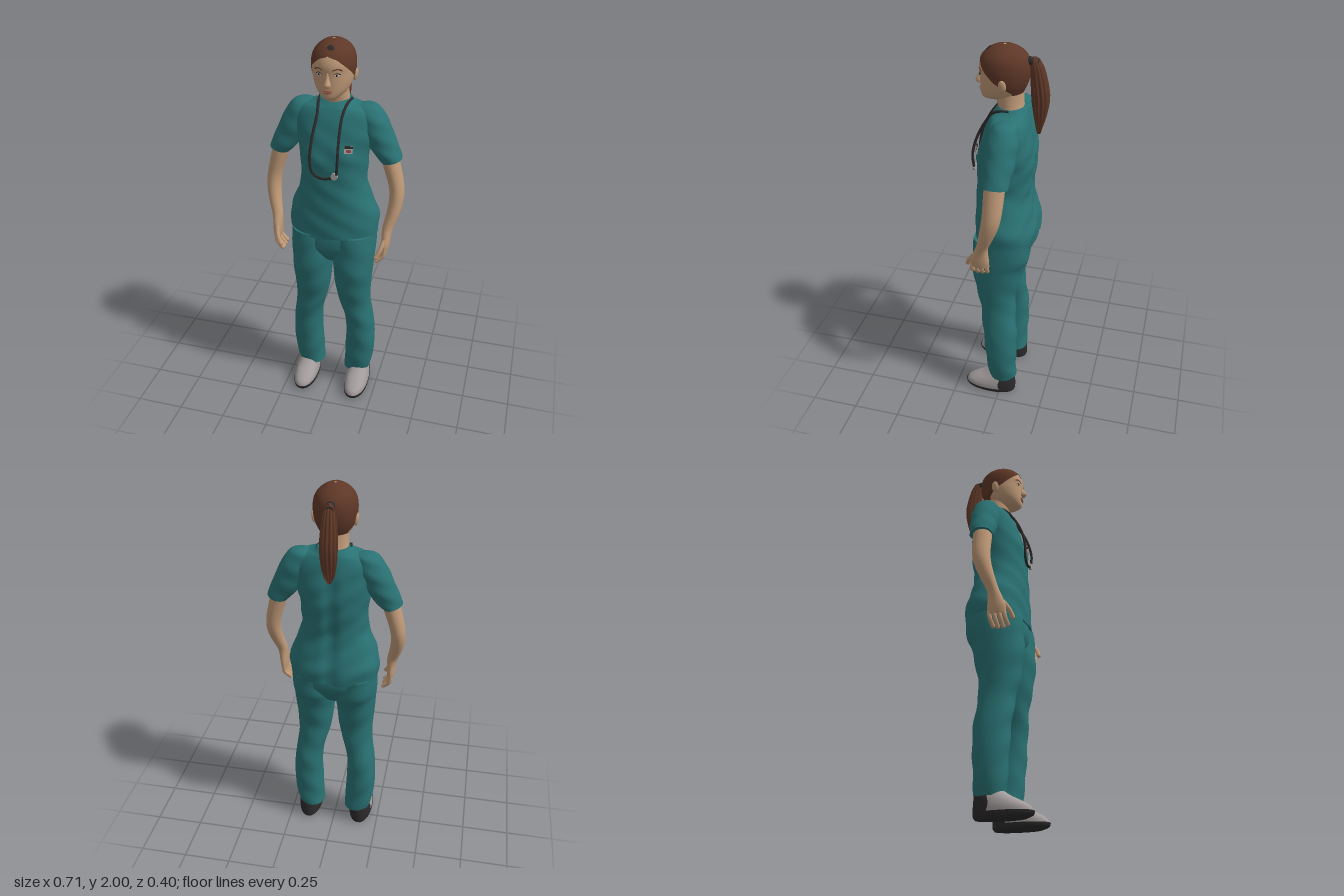
import * as THREE from 'three';

const mat = (name, color, side = THREE.FrontSide) => {
  const m = new THREE.MeshStandardMaterial({ color, side });
  m.name = name;
  return m;
};
const M = {
  cloth: mat('teal cloth', 0x2a7274),
  skin: mat('skin', 0xc09a78),
  hair: mat('brown hair', 0x5e3727, THREE.DoubleSide),
  dark: mat('dark rubber', 0x2c2a2b, THREE.DoubleSide),
  shoe: mat('grey leather', 0xa39c9c),
  lip: mat('lips', 0x9c6250),
  eye: mat('eye white', 0xcfc8c0),
  metal: mat('metal', 0xaaa39c),
  badge: mat('badge red', 0x8a4a4a),
};

const spline = (a, b, c, d, t) => 0.5 * (2 * b + (c - a) * t
  + (2 * a - 5 * b + 4 * c - d) * t * t + (3 * b - a - 3 * c + d) * t * t * t);
const bell = (v, c, w) => Math.exp(-(((v - c) / w) ** 2));

// Rings run from top to bottom: [y, xMin, xMax, zFront, zBack, tilt].
// open(y) leaves out that half angle at the front, mold(p, angle) bends each vertex.
function loft(rings, { n = 40, pow = 2, steps = 5, grow = 0, open, mold } = {}) {
  const rows = [];
  const at = i => rings[Math.max(0, Math.min(rings.length - 1, i))];
  for (let i = 0; i < rings.length - 1; i++)
    for (let s = 0; s < steps + (i === rings.length - 2 ? 1 : 0); s++)
      rows.push([0, 1, 2, 3, 4, 5].map(k => spline(at(i - 1)[k] ?? 0, at(i)[k] ?? 0,
        at(i + 1)[k] ?? 0, at(i + 2)[k] ?? 0, s / steps)));
  const pos = [], idx = [], w = n + 1, p = new THREE.Vector3();
  const curve = v => Math.sign(v) * Math.abs(v) ** (2 / pow);
  for (const [y, x0, x1, zf, zb, tilt] of rows) {
    const gap = open ? open(y) : 0;
    for (let j = 0; j <= n; j++) {
      const a = gap + (2 * Math.PI - 2 * gap) * j / n;
      const dx = ((x1 - x0) / 2 + grow) * curve(Math.sin(a));
      p.set((x0 + x1) / 2 + dx, y + dx * tilt, (zf + zb) / 2 + ((zf - zb) / 2 + grow) * curve(Math.cos(a)));
      if (mold) mold(p, a);
      pos.push(p.x, p.y, p.z);
    }
  }
  const col = j => (open ? j : j % n);
  for (let i = 0; i < rows.length - 1; i++)
    for (let j = 0; j < n; j++) {
      const a = i * w + col(j), b = i * w + col(j + 1);
      idx.push(a, a + w, b, b, a + w, b + w);
    }
  // flat end caps
  if (!open) for (const row of [0, rows.length - 1]) {
    const base = pos.length / 3, r = rows[row];
    pos.push(...pos.slice(row * w * 3, (row + 1) * w * 3));
    pos.push((r[1] + r[2]) / 2, r[0], (r[3] + r[4]) / 2);
    for (let j = 0; j < n; j++)
      row ? idx.push(base + w, base + j + 1, base + j) : idx.push(base + w, base + j, base + j + 1);
  }
  const g = new THREE.BufferGeometry();
  g.setAttribute('position', new THREE.Float32BufferAttribute(pos, 3));
  g.setIndex(idx);
  g.computeVertexNormals();
  return g;
}

const centred = rings => rings.map(([y, r, zf, zb]) => [y, -r, r, zf, zb]);
const sided = (rings, s) => rings.map(([y, a, b, zf, zb, t = 0]) =>
  s > 0 ? [y, a, b, zf, zb, t] : [y, -b, -a, zf, zb, -t]);

export function createModel() {
  const model = new THREE.Group();
  const add = (name, geo, m, parent = model) => {
    const mesh = new THREE.Mesh(geo, m);
    mesh.name = name;
    parent.add(mesh);
    return mesh;
  };
  const blob = (name, m, [x, y, z], [sx, sy, sz], parent) => {
    const b = add(name, new THREE.SphereGeometry(1, 20, 14), m, parent);
    b.position.set(x, y, z);
    b.scale.set(sx, sy, sz);
    return b;
  };
  const tube = (points, r, n = 40) => new THREE.TubeGeometry(
    new THREE.CatmullRomCurve3(points.map(p => new THREE.Vector3(...p))), n, r, 8);

  // tunic with bust, spine groove, soft folds and a wavy hem
  add('tunic', loft(centred([
    [1.71, 0.076, 0.035, -0.088], [1.69, 0.1, 0.052, -0.1], [1.67, 0.165, 0.066, -0.106],
    [1.63, 0.196, 0.085, -0.12], [1.55, 0.192, 0.112, -0.138], [1.47, 0.178, 0.13, -0.148],
    [1.42, 0.17, 0.138, -0.148], [1.32, 0.164, 0.142, -0.138], [1.25, 0.175, 0.145, -0.134],
    [1.15, 0.214, 0.147, -0.152], [1.08, 0.23, 0.149, -0.17], [1.01, 0.225, 0.15, -0.168],
  ]), {
    n: 72, pow: 2.25, mold: (p, a) => {
      const low = 1 - THREE.MathUtils.smoothstep(p.y, 1.55, 1.68);
      if (p.z > 0) p.z += 0.01 * bell(p.y, 1.46, 0.06) * bell(Math.abs(p.x), 0.08, 0.045);
      else p.z += 0.014 * bell(p.x, 0, 0.03) * low;
      p.z += 0.0025 * low * Math.sin(p.y * 55 + p.x * 30);
      p.x *= 1 + 0.012 * low * Math.sin(p.y * 48 + a * 3);
      p.y += 0.006 * bell(p.y, 1.01, 0.04) * Math.sin(a * 7);
    },
  }), M.cloth);

  // trousers seat
  add('trouserSeat', loft(centred([
    [1.06, 0.205, 0.135, -0.15], [0.98, 0.22, 0.142, -0.152], [0.92, 0.205, 0.135, -0.125],
    [0.86, 0.12, 0.1, -0.08], [0.82, 0.03, 0.05, -0.03],
  ]), { pow: 2.2 }), M.cloth);

  for (const s of [1, -1]) {
    const side = s > 0 ? 'left' : 'right';
    const limb = (name, rings, m, opts) => add(side + name, loft(sided(rings, s), opts), m);

    limb('TrouserLeg', [
      [1.02, 0.005, 0.22, 0.142, -0.15], [0.92, -0.004, 0.22, 0.15, -0.14],
      [0.86, 0, 0.216, 0.152, -0.118], [0.78, 0.008, 0.211, 0.148, -0.097],
      [0.68, 0.018, 0.204, 0.13, -0.078], [0.6, 0.032, 0.201, 0.112, -0.073],
      [0.5, 0.06, 0.212, 0.1, -0.082], [0.4, 0.072, 0.225, 0.09, -0.09],
      [0.27, 0.068, 0.228, 0.08, -0.088], [0.18, 0.064, 0.22, 0.071, -0.086],
      [0.1, 0.06, 0.203, 0.065, -0.084],
    ], M.cloth, {
      pow: 2.15, mold: (p, a) => { p.z += 0.003 * Math.sin(p.y * 40 + s * a * 2); },
    });

    // shoe: upper, dark heel counter and sole
    const upper = [[0.13, 0.1, 0.188, 0.055, -0.076], [0.1, 0.092, 0.2, 0.1, -0.079],
      [0.075, 0.087, 0.207, 0.15, -0.081], [0.05, 0.084, 0.211, 0.187, -0.082],
      [0.022, 0.085, 0.21, 0.199, -0.082]];
    limb('Shoe', upper, M.shoe, { pow: 2.2 });
    limb('ShoeHeel', upper, M.dark, { pow: 2.2, grow: 0.003, open: y => 1.6 + (0.13 - y) * 4 });
    limb('ShoeSole', [[0.03, 0.082, 0.213, 0.202, -0.085], [0.012, 0.084, 0.21, 0.195, -0.084],
      [0, 0.094, 0.2, 0.165, -0.076]], M.dark, { pow: 2.2 });

    limb('Sleeve', [
      [1.688, 0.14, 0.175, -0.015, -0.05], [1.672, 0.1, 0.215, 0.025, -0.085],
      [1.61, 0.105, 0.258, 0.046, -0.1], [1.53, 0.14, 0.292, 0.05, -0.096, 0.05],
      [1.46, 0.19, 0.32, 0.048, -0.086, 0.15], [1.415, 0.236, 0.334, 0.045, -0.076, 0.28],
    ], M.cloth, { mold: (p, a) => { p.z += 0.0025 * Math.sin(p.y * 70 + a * 2); } });

    limb('Arm', [
      [1.48, 0.21, 0.305, 0.03, -0.065], [1.4, 0.238, 0.326, 0.038, -0.062],
      [1.29, 0.273, 0.35, 0.04, -0.054], [1.22, 0.282, 0.354, 0.048, -0.04],
      [1.15, 0.276, 0.343, 0.062, -0.012], [1.08, 0.264, 0.32, 0.08, 0.018],
      [1.04, 0.262, 0.311, 0.096, 0.022], [0.99, 0.263, 0.306, 0.113, 0.018],
      [0.955, 0.266, 0.3, 0.11, 0.022],
    ], M.skin, { n: 28 });

    // curled fingers and forward thumb
    const hand = new THREE.Group();
    hand.name = side + 'Fingers';
    model.add(hand);
    const digit = (name, pts, r) => {
      const q = pts.map(([x, y, z]) => [x * s, y, z]);
      add(name, tube(q, r, 10), M.skin, hand);
      blob(name + 'Tip', M.skin, q[q.length - 1], [r, r, r], hand);
    };
    [0.027, 0.052, 0.078, 0.102].forEach((z, i) => digit('finger', [[0.284, 0.975, z],
      [0.28, 0.935, z + 0.004], [0.25, 0.905 - 0.008 * Math.sin(i), z + 0.01]], 0.011));
    digit('thumb', [[0.28, 1.02, 0.095], [0.268, 0.975, 0.125], [0.25, 0.94, 0.138]], 0.011);
  }

  // neck and head
  add('neck', loft(centred([[1.82, 0.066, 0.05, -0.08], [1.75, 0.066, 0.05, -0.08],
    [1.7, 0.07, 0.04, -0.084], [1.66, 0.08, 0.04, -0.09]])), M.skin);
  const skull = centred([
    [2, 0.003, 0.012, 0.006], [1.992, 0.036, 0.052, -0.034], [1.97, 0.069, 0.09, -0.074],
    [1.94, 0.091, 0.116, -0.098], [1.9, 0.1, 0.129, -0.107], [1.86, 0.099, 0.126, -0.105],
    [1.82, 0.093, 0.125, -0.094], [1.78, 0.078, 0.124, -0.076], [1.752, 0.053, 0.121, -0.045],
    [1.738, 0.028, 0.11, 0.01], [1.733, 0.008, 0.09, 0.06],
  ]);
  add('head', loft(skull, { n: 56 }), M.skin);

  // hair cap with a hairline running from the forehead to the nape
  const line = [[1.75, 2.3], [1.79, 2.2], [1.82, 1.75], [1.85, 1.3], [1.9, 0.8], [1.93, 0.45], [1.945, 0]];
  const hairline = y => {
    const k = line.findIndex(l => l[0] >= y);
    if (k < 0) return 0;
    if (k === 0) return line[0][1];
    return THREE.MathUtils.mapLinear(y, line[k - 1][0], line[k][0], line[k - 1][1], line[k][1]);
  };
  add('hairCap', loft(skull.slice(0, 8), { n: 56, steps: 8, grow: 0.004, open: hairline }), M.hair);
  blob('hairParting', M.dark, [0.005, 1.973, 0.086], [0.017, 0.005, 0.017]).rotation.x = 0.8;

  // ponytail with strands, held by a dark tie
  add('ponytail', loft(centred([
    [1.95, 0.006, -0.122, -0.135], [1.93, 0.022, -0.112, -0.155], [1.88, 0.032, -0.112, -0.178],
    [1.77, 0.04, -0.117, -0.2], [1.68, 0.036, -0.128, -0.19], [1.61, 0.024, -0.142, -0.17],
    [1.575, 0.008, -0.15, -0.16],
  ]), { n: 72, mold: (p, a) => { p.x *= 1 + 0.09 * Math.sin(a * 12 + p.y * 9); p.z += 0.003 * Math.sin(a * 12); } }), M.hair);
  const tie = add('hairTie', new THREE.CylinderGeometry(0.019, 0.021, 0.05, 16), M.dark);
  tie.position.set(0, 1.927, -0.122);
  tie.rotation.x = 1.35;

  // face
  add('nose', loft(centred([[1.875, 0.006, 0.127, 0.11], [1.845, 0.009, 0.137, 0.11],
    [1.82, 0.016, 0.15, 0.11], [1.808, 0.015, 0.143, 0.11], [1.803, 0.008, 0.13, 0.11]]), { n: 20 }), M.skin);
  blob('upperLip', M.lip, [0, 1.787, 0.123], [0.024, 0.005, 0.006]);
  blob('lowerLip', M.lip, [0, 1.778, 0.122], [0.02, 0.006, 0.007]);
  for (const s of [1, -1]) {
    blob('eye', M.eye, [s * 0.041, 1.862, 0.114], [0.014, 0.007, 0.004]).rotation.y = s * 0.4;
    blob('iris', M.dark, [s * 0.041, 1.862, 0.117], [0.0055, 0.0055, 0.003]);
    add('upperLash', tube([[s * 0.026, 1.864, 0.12], [s * 0.041, 1.871, 0.116], [s * 0.057, 1.864, 0.107]], 0.0022, 8), M.dark);
    add('eyebrow', tube([[s * 0.022, 1.884, 0.125], [s * 0.045, 1.891, 0.116], [s * 0.064, 1.882, 0.104]], 0.003, 8), M.hair);
    blob('ear', M.skin, [s * 0.1, 1.835, -0.002], [0.01, 0.031, 0.019]).rotation.z = -s * 0.15;
  }

  // stethoscope hanging from the collar
  add('stethoscopeTube', tube([[-0.078, 1.705, -0.03], [-0.07, 1.695, 0.035], [-0.064, 1.65, 0.078],
    [-0.075, 1.55, 0.132], [-0.08, 1.45, 0.158], [-0.07, 1.385, 0.156], [-0.03, 1.356, 0.153],
    [0.015, 1.36, 0.153], [0.04, 1.375, 0.154]], 0.007, 60), M.dark);
  add('stethoscopeBranch', tube([[0.078, 1.705, -0.03], [0.068, 1.695, 0.035], [0.057, 1.65, 0.078],
    [0.055, 1.55, 0.132], [0.055, 1.45, 0.158], [0.05, 1.38, 0.154]], 0.007), M.dark);
  const disc = add('stethoscopeDisc', new THREE.CylinderGeometry(0.017, 0.017, 0.014, 20), M.metal);
  disc.position.set(0.04, 1.374, 0.154);
  disc.rotation.x = Math.PI / 2;

  // badge on the chest
  const badge = new THREE.Group();
  badge.name = 'badge';
  badge.position.set(0.1, 1.507, 0.122);
  badge.rotation.set(-0.15, 0.3, 0);
  model.add(badge);
  [['badgeCard', M.metal, 0.04, 0.036, 0], ['badgeTop', M.dark, 0.04, 0.012, 0.012],
    ['badgePhoto', M.badge, 0.024, 0.012, -0.006]].forEach(([name, m, w, h, y], i) => {
    add(name, new THREE.BoxGeometry(w, h, 0.008), m, badge).position.set(0, y, i ? 0.002 : 0);
  });
  return model;
}
